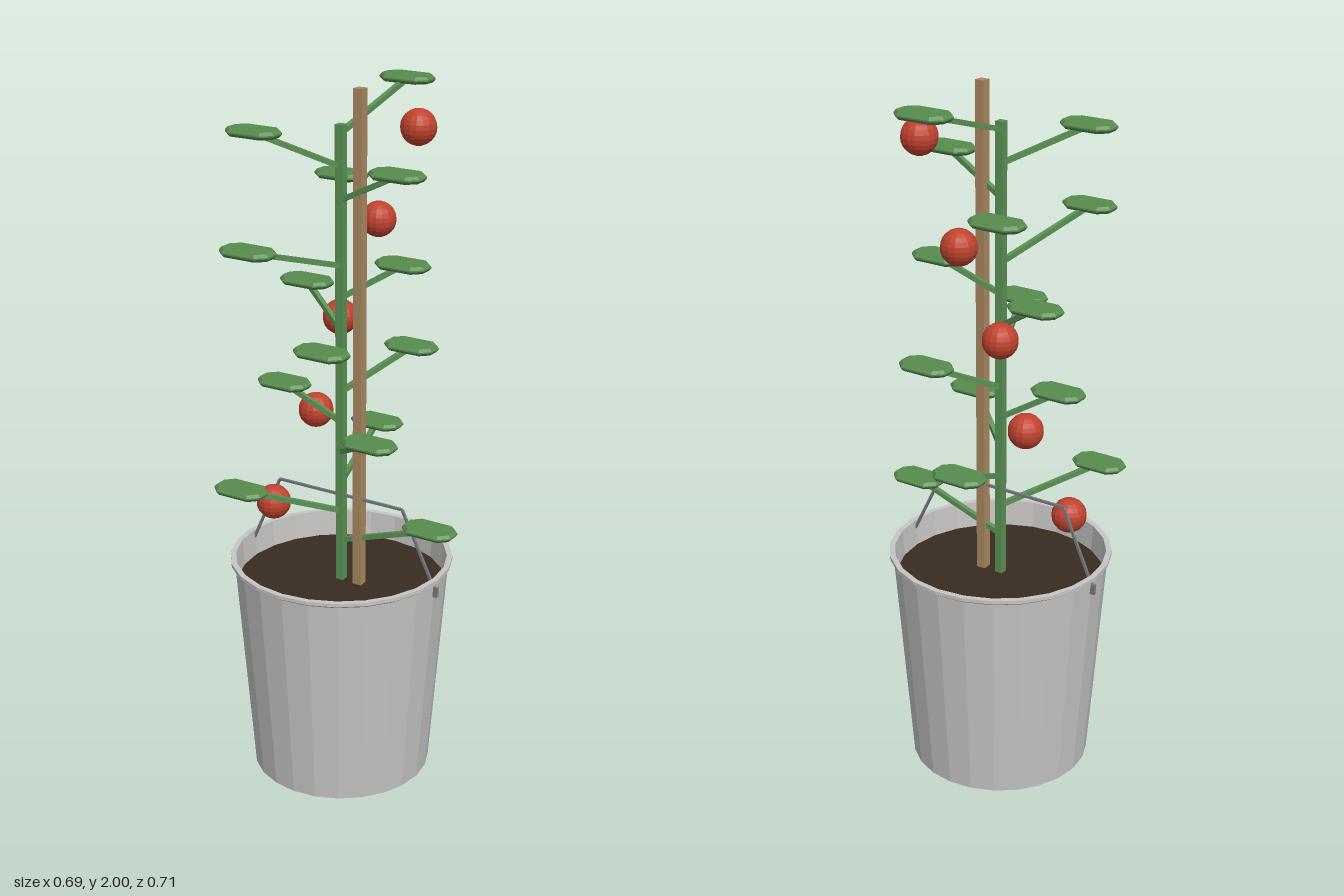
import * as THREE from 'three';

const material = (name, color, extra = {}) => {
  const m = new THREE.MeshStandardMaterial({ color, flatShading: true, ...extra });
  m.name = name;
  return m;
};

// Stem and bucket share this axis
const AXIS = -0.023;
const SOIL_Y = 0.58;

export function createModel() {
  const plant = new THREE.Group();
  plant.name = 'pottedFruitPlant';

  const metal = material('galvanised metal', 0xc6c5c4);
  const wire = material('handle wire', 0x74777d);
  const earth = material('soil', 0x392c21);
  const wood = material('stake wood', 0xa98761);
  const stalkGreen = material('stem green', 0x5a9153);
  const leafGreen = material('leaf green', 0x578c4e);
  const red = material('fruit red', 0xc0422d);

  const add = (name, geometry, mat, x = 0, y = 0, z = 0) => {
    const mesh = new THREE.Mesh(geometry, mat);
    mesh.name = name;
    mesh.position.set(x, y, z);
    plant.add(mesh);
    return mesh;
  };

  // Square bar between two points
  const bar = (name, a, b, width, mat) => {
    const dir = b.clone().sub(a);
    const mesh = add(name, new THREE.BoxGeometry(width, width, dir.length()), mat);
    mesh.position.copy(a).add(b).multiplyScalar(0.5);
    mesh.lookAt(b);
    return mesh;
  };

  // Bucket: outer wall, flared lip, inner wall
  const profile = [
    [0, 0], [0.259, 0], [0.308, 0.64], [0.319, 0.648], [0.319, 0.658],
    [0.303, 0.658], [0.297, SOIL_Y - 0.01],
  ].map(([r, y]) => new THREE.Vector2(r, y));
  add('bucket', new THREE.LatheGeometry(profile, 24), metal, AXIS);

  add('soil', new THREE.CylinderGeometry(0.3, 0.295, 0.02, 24), earth, AXIS, SOIL_Y - 0.01);

  // Folded wire handle, hooked just below the lip
  const handle = [[-0.318, 0.605], [-0.21, 0.843], [0.2, 0.843], [0.318, 0.605]]
    .map(([x, y]) => new THREE.Vector3(AXIS + x, y, 0));
  for (let i = 0; i < 3; i++) bar('handleWire', handle[i], handle[i + 1], 0.007, wire);
  for (const s of [-1, 1]) {
    add('handleHook', new THREE.BoxGeometry(0.016, 0.03, 0.01), wire, AXIS + s * 0.31, 0.617, 0);
  }

  // Stem and support stake
  add('stem', new THREE.BoxGeometry(0.023, 1.9 - SOIL_Y, 0.023), stalkGreen, AXIS, (1.9 + SOIL_Y) / 2);
  add('stake', new THREE.BoxGeometry(0.027, 2 - SOIL_Y, 0.027), wood, 0.037, (2 + SOIL_Y) / 2);

  // Leaf: a thin plate with cut corners and bevelled edges
  const w = 0.07, d = 0.04, cut = 0.023;
  const outline = new THREE.Shape([
    [w - cut, -d], [w, -d + cut], [w, d - cut], [w - cut, d],
    [-w + cut, d], [-w, d - cut], [-w, -d + cut], [-w + cut, -d],
  ].map(([x, y]) => new THREE.Vector2(x, y)));
  const leafGeometry = new THREE.ExtrudeGeometry(outline, {
    depth: 0.004, bevelEnabled: true, bevelThickness: 0.008, bevelSize: 0.007, bevelSegments: 1,
  });
  leafGeometry.rotateX(-Math.PI / 2).translate(0, -0.002, 0);

  // Leaf centres (x, z), spiralling up the stem
  const leaves = [
    [0.266, 0.001], [-0.215, 0.217], [-0.05, -0.238], [0.144, 0.121], [-0.186, 0.039],
    [0.09, -0.19], [0.052, 0.213], [-0.177, -0.066], [0.128, -0.072], [-0.11, 0.308],
    [-0.163, -0.224], [0.171, 0.035], [-0.201, 0.144], [-0.005, -0.312],
  ];
  leaves.forEach(([x, z], i) => {
    const y = 0.801 + i * 0.0903;
    const start = new THREE.Vector3(AXIS, y - 0.098, 0);
    const end = start.clone().lerp(new THREE.Vector3(x, y - 0.002, z), 0.93);
    bar('leafStalk', start, end, 0.014, stalkGreen);
    add('leaf', leafGeometry, leafGreen, x, y, z);
  });

  // Round fruit
  const fruitGeometry = new THREE.SphereGeometry(0.05, 16, 12);
  const fruits = [
    [-0.22, 0.795, 0.052], [-0.134, 1.065, -0.042], [-0.086, 1.335, -0.096],
    [-0.016, 1.605, -0.183], [0.112, 1.876, -0.174],
  ];
  for (const [x, y, z] of fruits) add('fruit', fruitGeometry, red, x, y, z);

  return plant;
}
